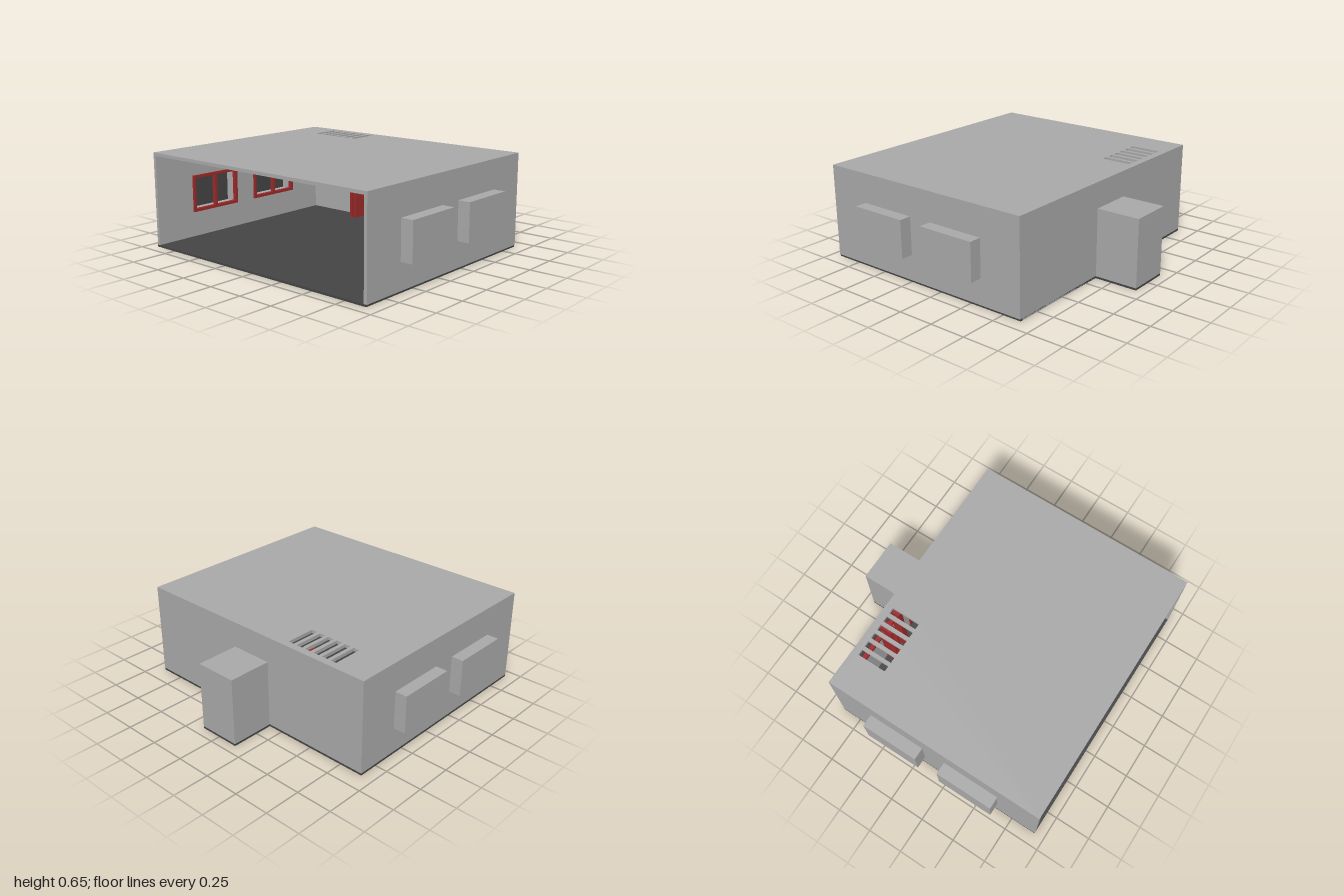
import * as THREE from 'three';

const grey = new THREE.MeshStandardMaterial({ color: 0xa8a8a8 });
grey.name = 'wall grey';
const dark = new THREE.MeshStandardMaterial({ color: 0x444444 });
dark.name = 'dark metal';
const red = new THREE.MeshStandardMaterial({ color: 0x9c2a2a });
red.name = 'painted red';

// Box given by its limits on each axis
function box(parent, name, mat, x0, x1, y0, y1, z0, z1) {
  const geo = new THREE.BoxGeometry(x1 - x0, y1 - y0, z1 - z0);
  geo.translate((x0 + x1) / 2, (y0 + y1) / 2, (z0 + z1) / 2);
  const mesh = new THREE.Mesh(geo, mat);
  mesh.name = name;
  parent.add(mesh);
  return mesh;
}

// Flat slab with rectangular holes; rectangles are [a0, a1, b0, b1]
function slab([a0, a1, b0, b1], holes, depth) {
  const points = (p, q, r, s) => [[p, r], [q, r], [q, s], [p, s]].map(([u, v]) => new THREE.Vector2(u, v));
  const shape = new THREE.Shape(points(a0, a1, b0, b1));
  holes.forEach((h) => shape.holes.push(new THREE.Path(points(...h).reverse())));
  return new THREE.ExtrudeGeometry(shape, { depth, bevelEnabled: false });
}

function addMesh(parent, name, geo, mat) {
  const mesh = new THREE.Mesh(geo, mat);
  mesh.name = name;
  parent.add(mesh);
  return mesh;
}

const W = 0.917, H = 0.65, BACK = -0.635, FRONT = 0.93, T = 0.022;
const windows = [[-0.34, 0.063], [0.23, 0.632]];
const WY0 = 0.193, WY1 = 0.45;

// Hollow bay outside the wall, with a dark pane and a red frame inside
function windowBay(side, z0, z1) {
  const g = new THREE.Group();
  g.name = 'windowBay';
  const t = 0.012;
  const b = (name, mat, x0, x1, ...rest) =>
    box(g, name, mat, side > 0 ? x0 : -x1, side > 0 ? x1 : -x0, ...rest);
  b('bayOuterWall', grey, 1 - t, 1, WY0, WY1, z0, z1);
  b('bayTop', grey, W, 1 - t, WY1 - t, WY1, z0, z1);
  b('bayBottom', grey, W, 1 - t, WY0, WY0 + t, z0, z1);
  b('baySide', grey, W, 1 - t, WY0 + t, WY1 - t, z0, z0 + t);
  b('baySide', grey, W, 1 - t, WY0 + t, WY1 - t, z1 - t, z1);
  b('windowPane', dark, 0.98, 0.987, WY0 + t, WY1 - t, z0 + t, z1 - t);
  // Frame
  const f = 0.02, i = 0.882, o = 0.91, m = (z0 + z1) / 2;
  b('windowSill', red, i, o, WY0, WY0 + f, z0, z1);
  b('windowHead', red, i, o, WY1 - f, WY1, z0, z1);
  for (const z of [z0, m - f / 2, z1 - f]) b('windowUpright', red, i, o, WY0 + f, WY1 - f, z, z + f);
  return g;
}

export function createModel() {
  const model = new THREE.Group();
  model.name = 'openRoom';

  // Shell
  box(model, 'floor', dark, -W, W - 0.005, 0.004, 0.018, BACK, FRONT);
  const slots = [];
  for (let i = 0; i < 6; i++) slots.push([-0.667 + i * 0.068, -0.625 + i * 0.068, -0.585, -0.38]);
  const roof = slab([-W, W, BACK, FRONT], slots, T).rotateX(Math.PI / 2).translate(0, H, 0);
  addMesh(model, 'slottedRoof', roof, grey);
  const openings = windows.map(([a, b]) => [a + 0.012, b - 0.012, WY0 + 0.012, WY1 - 0.012]);
  for (const side of [-1, 1]) {
    const wall = slab([BACK, FRONT, 0.018, H - T], openings, T).rotateY(-Math.PI / 2);
    wall.translate(side > 0 ? W : -W + T, 0, 0);
    addMesh(model, 'sideWall', wall, grey);
    for (const [z0, z1] of windows) model.add(windowBay(side, z0, z1));
  }
  const backWall = slab([-W + T, W - T, 0.004, H - T], [[-0.13, 0.13, 0.018, 0.46]], T);
  addMesh(model, 'backWall', backWall.translate(0, 0, BACK), grey);

  // Entrance block behind the back wall
  const porch = new THREE.Group();
  porch.name = 'rearPorch';
  model.add(porch);
  box(porch, 'porchFloor', dark, -0.148, 0.146, 0.002, 0.016, -0.934, BACK);
  box(porch, 'porchTop', grey, -0.148, 0.146, 0.46, 0.475, -0.934, BACK);
  box(porch, 'porchBack', grey, -0.148, 0.146, 0.016, 0.46, -0.934, -0.92);
  box(porch, 'porchSide', grey, -0.148, -0.134, 0.016, 0.46, -0.92, BACK);
  box(porch, 'porchSide', grey, 0.132, 0.146, 0.016, 0.46, -0.92, BACK);

  // Slatted door
  const door = new THREE.Group();
  door.name = 'slattedDoor';
  model.add(door);
  box(door, 'doorPanel', dark, -0.135, 0.12, 0.018, 0.458, -0.632, -0.622);
  for (const x of [-0.15, 0.135]) box(door, 'doorPost', red, x, x + 0.012, 0.018, 0.46, -0.63, -0.6);
  for (let i = 0; i < 12; i++) {
    const y = 0.026 + i * 0.0385;
    box(door, 'doorSlat', red, -0.138, 0.135, y, y + 0.011, -0.62, -0.605);
  }

  // Columns along the back wall
  for (const side of [-1, 1]) {
    box(model, 'backColumn', red, side * 0.279 - 0.019, side * 0.279 + 0.019, 0.018, 0.59, -0.613, -0.54);
    for (const dx of [-0.02, 0.02]) {
      const x = side * 0.406 + dx;
      box(model, 'channelColumn', red, x - 0.006, x + 0.006, 0.018, 0.625, -0.613, -0.5);
    }
  }

  // Beam and service pipes under the ceiling
  const inner = W - T;
  box(model, 'crossBeam', red, -inner, inner, 0.535, 0.56, -0.613, -0.555);
  box(model, 'cableTray', dark, -inner, inner, 0.56, 0.573, -0.613, -0.587);
  for (const [y, r] of [[0.592, 0.006], [0.612, 0.004]]) {
    const pipe = new THREE.CylinderGeometry(r, r, inner * 2, 8).rotateZ(Math.PI / 2).translate(0, y, -0.6);
    addMesh(model, 'ceilingPipe', pipe, dark);
  }

  // Hanging fittings, as x, lowest point and foot half width
  for (const [x, y, w] of [[0.22, 0.575, 0.012], [0.34, 0.505, 0.022], [0.37, 0.468, 0.025], [0.52, 0.54, 0.018]]) {
    box(model, 'hangerRod', dark, x - 0.006, x + 0.006, y, H - T, -0.506, -0.494);
    box(model, 'hangerFoot', dark, x - w, x + w, y, y + 0.01, -0.51, -0.49);
    box(model, 'hangerArm', dark, x - 0.04, x + 0.04, 0.595, 0.602, -0.504, -0.496);
  }
  box(model, 'ceilingLamp', dark, -0.61, -0.545, 0.614, H - T, -0.3, -0.2);

  return model;
}
